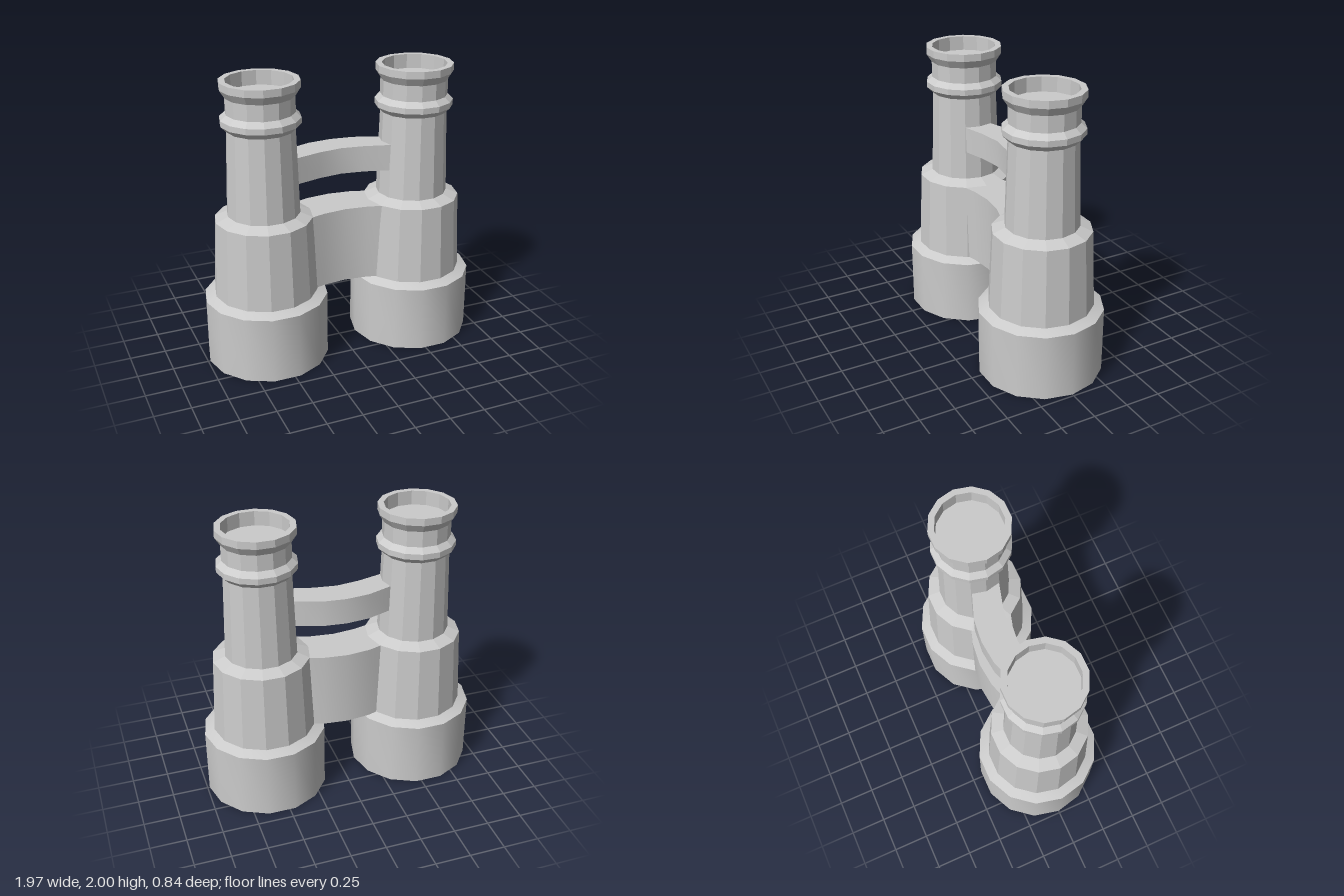
import * as THREE from 'three';
import { toCreasedNormals } from 'three/addons/utils/BufferGeometryUtils.js';

const SIDES = 14;
const BARREL_X = 0.555;

const smooth = new THREE.MeshStandardMaterial({ color: 0xcccccc });
const faceted = new THREE.MeshStandardMaterial({ color: 0xcccccc, flatShading: true });

// Turned part with a corner on the x axis; the profile runs [radius, height]
function turned(name, profile, material) {
  const points = profile.map(([r, y]) => new THREE.Vector2(r, y));
  const lathe = new THREE.LatheGeometry(points, SIDES, Math.PI / 2);
  const mesh = new THREE.Mesh(toCreasedNormals(lathe, 0.5), material);
  mesh.name = name;
  return mesh;
}

function createBarrel(name) {
  const barrel = new THREE.Group();
  barrel.name = name;
  barrel.add(
    // Wide hood with the recessed front lens
    turned('objectiveLens', [[0, 0.11], [0.38, 0.11]], faceted),
    turned('objectiveHood', [
      [0.38, 0.11], [0.38, 0], [0.43, 0], [0.43, 0.47], [0.36, 0.5],
    ], smooth),
    // Tapered body and slimmer tube
    turned('barrelBody', [
      [0.36, 0.5], [0.335, 1.045], [0.25, 1.08], [0.23, 1.67],
    ], faceted),
    // Focus ring
    turned('focusRing', [
      [0.23, 1.67], [0.27, 1.71], [0.27, 1.75], [0.232, 1.785],
    ], faceted),
    // Eyepiece with a flared cup and recessed lens
    turned('eyepiece', [
      [0.232, 1.785], [0.232, 1.895], [0.267, 1.95], [0.267, 2], [0.225, 2], [0.225, 1.9],
    ], faceted),
    turned('eyeLens', [[0.225, 1.9], [0, 1.9]], faceted),
  );
  return barrel;
}

// Curved bridge: z values for the back and front edges at each half-span station
function createBridge(name, stations, back, front, bottom, top) {
  const edge = (zs) => [
    ...stations.map((x, i) => new THREE.Vector2(-x, -zs[i])).reverse(),
    ...stations.slice(1).map((x, i) => new THREE.Vector2(x, -zs[i + 1])),
  ];
  const shape = new THREE.Shape([...edge(front), ...edge(back).reverse()]);
  const geometry = new THREE.ExtrudeGeometry(shape, { depth: top - bottom, bevelEnabled: false });
  geometry.rotateX(-Math.PI / 2);
  geometry.translate(0, bottom, 0);
  const mesh = new THREE.Mesh(toCreasedNormals(geometry, 0.5), smooth);
  mesh.name = name;
  return mesh;
}

export function createModel() {
  const model = new THREE.Group();
  model.name = 'binoculars';

  for (const [name, side] of [['leftBarrel', 1], ['rightBarrel', -1]]) {
    const barrel = createBarrel(name);
    barrel.position.x = side * BARREL_X;
    model.add(barrel);
  }

  const stations = [0, 0.165, 0.36];
  model.add(
    createBridge('lowerBridge', stations, [-0.2, -0.182, -0.12], [0.107, 0.125, 0.18], 0.5, 1.045),
    createBridge('upperBridge', stations, [-0.176, -0.159, -0.09], [0.03, 0.052, 0.105], 1.28, 1.465),
  );
  return model;
}
